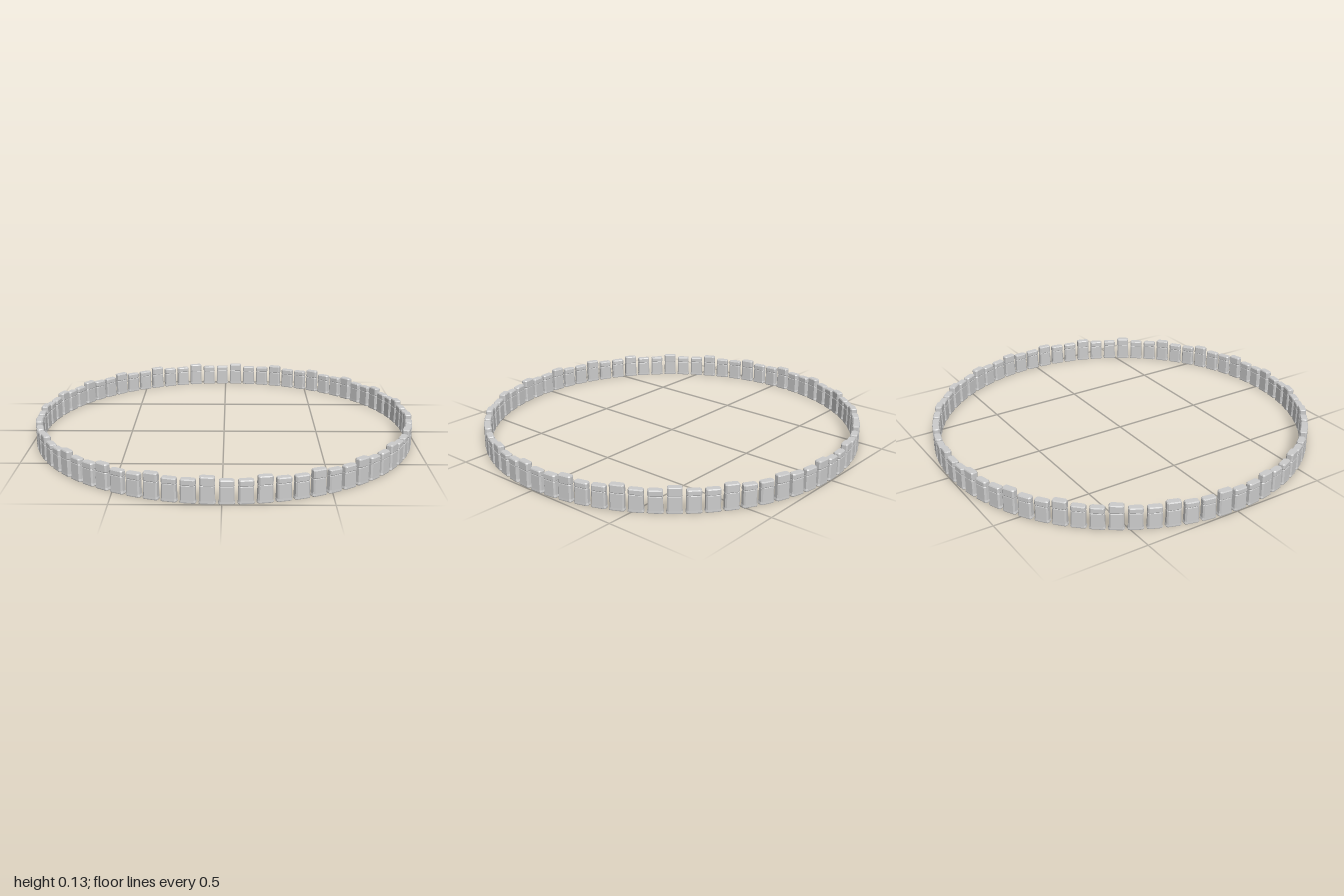
import * as THREE from 'three';

const COUNT = 72;
const RADIUS = 0.98; // centre line of the ring
const CORNER = 0.007;

// Rectangle with cut corners, w across and d deep, at height y
function section(w, d, y) {
  const a = w / 2, b = d / 2, c = CORNER;
  return [[a, -b + c], [a, b - c], [a - c, b], [-a + c, b],
    [-a, b - c], [-a, -b + c], [-a + c, -b], [a - c, -b]].map(([x, z]) => [x, y, z]);
}

// Closed loft through stacked sections
function loft(rings) {
  const pos = [];
  const n = rings[0].length;
  const tri = (...pts) => pts.forEach((p) => pos.push(...p));
  for (let i = 0; i < rings.length - 1; i++) {
    for (let j = 0; j < n; j++) {
      const k = (j + 1) % n;
      const a = rings[i][j], b = rings[i][k], c = rings[i + 1][k], d = rings[i + 1][j];
      tri(a, c, b);
      tri(a, d, c);
    }
  }
  const top = rings[rings.length - 1], bottom = rings[0];
  for (let j = 1; j < n - 1; j++) {
    tri(top[0], top[j + 1], top[j]);
    tri(bottom[0], bottom[j], bottom[j + 1]);
  }
  const geometry = new THREE.BufferGeometry();
  geometry.setAttribute('position', new THREE.Float32BufferAttribute(pos, 3));
  geometry.computeVertexNormals();
  return geometry;
}

// Upright stone: flared foot, straight body, shallow worn groove, chamfered top
function stoneGeometry(height, groove, skew) {
  const rings = [
    section(0.072, 0.034, 0),
    section(0.075, 0.037, 0.004),
    section(0.069, 0.036, 0.014),
    section(0.068, 0.035, groove - 0.003),
    section(0.066, 0.032, groove),
    section(0.069, 0.036, groove + 0.003),
    section(0.069, 0.036, height - 0.005),
    section(0.063, 0.03, height),
  ];
  // slightly uneven top edge
  for (const ring of rings.slice(-2)) for (const p of ring) p[1] -= skew * (0.035 + p[0]);
  return loft(rings);
}

export function createModel() {
  const ring = new THREE.Group();
  ring.name = 'stoneRing';
  const material = new THREE.MeshStandardMaterial({ color: 0xcccccc, flatShading: true });

  // Three stones repeat around the circle, the first one taller
  const variants = [
    stoneGeometry(0.127, 0.085, 0.01),
    stoneGeometry(0.113, 0.085, 0.02),
    stoneGeometry(0.112, 0.082, 0),
  ];
  const names = ['tallStone', 'slopedStone', 'lowStone'];

  for (let i = 0; i < COUNT; i++) {
    const angle = THREE.MathUtils.degToRad(-3.75 + (i * 360) / COUNT);
    const stone = new THREE.Mesh(variants[i % 3], material);
    stone.name = names[i % 3];
    stone.position.set(Math.sin(angle) * RADIUS, 0, Math.cos(angle) * RADIUS);
    stone.rotation.y = angle;
    ring.add(stone);
  }
  return ring;
}
